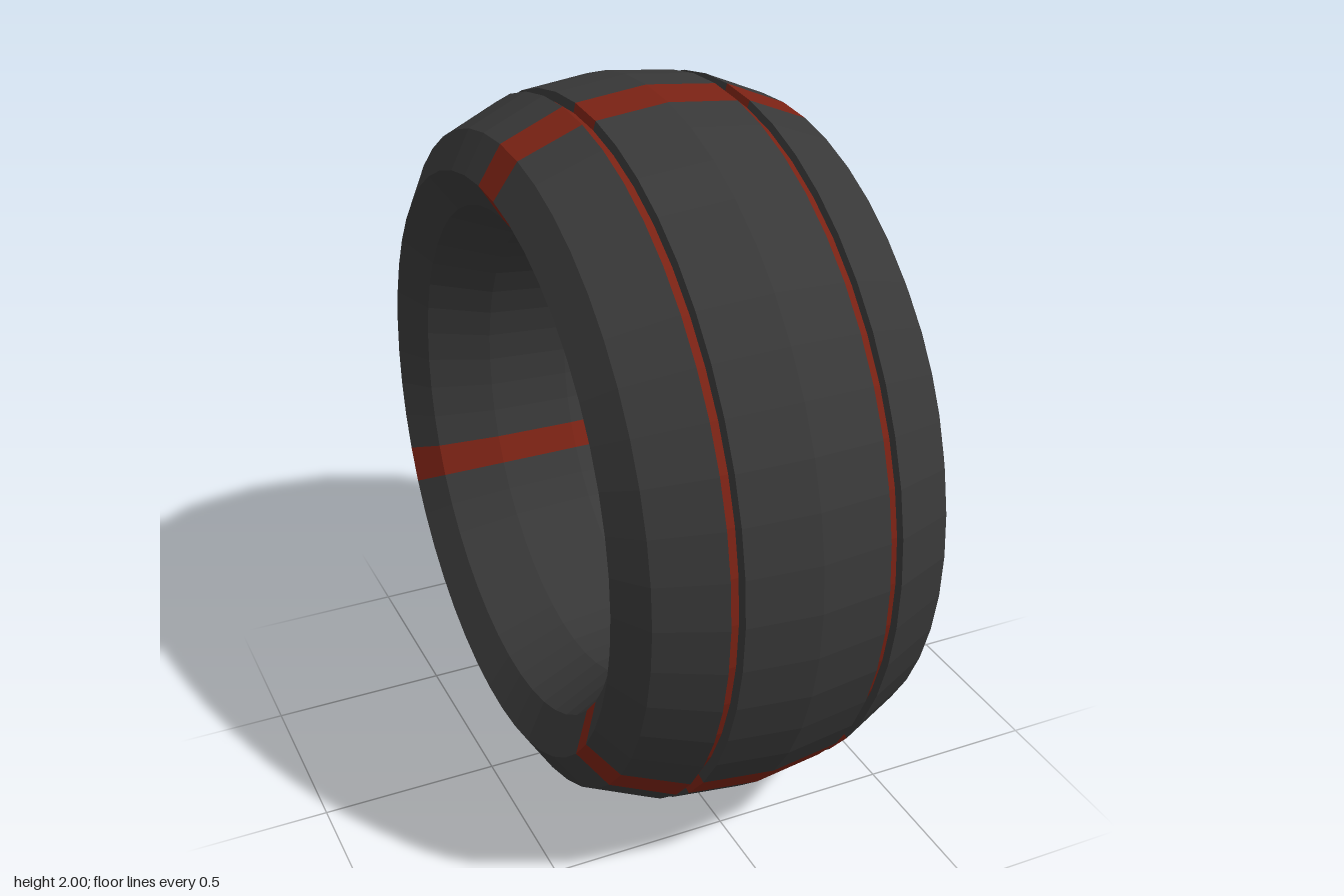
import * as THREE from 'three';

const SEGMENTS = 48;
const STEP = (Math.PI * 2) / SEGMENTS;
const STRIPES = [0, 17, 32]; // segments painted red, counted from the top towards +z

const rubber = new THREE.MeshStandardMaterial({ color: 0x383838, flatShading: true });
const red = new THREE.MeshStandardMaterial({ color: 0x7a2214, flatShading: true });

// Sweeps a profile of [x, radius] points about the x axis over some segments
function ringArc(name, profile, first, count, material) {
  const points = profile.map(([x, r]) => new THREE.Vector2(r, x));
  const geometry = new THREE.LatheGeometry(points, count, first * STEP - Math.PI / 2, count * STEP);
  geometry.rotateZ(-Math.PI / 2);
  geometry.translate(0, 1, 0);
  const mesh = new THREE.Mesh(geometry, material);
  mesh.name = name;
  return mesh;
}

export function createModel() {
  const tire = new THREE.Group();
  tire.name = 'tire';

  // Centre tread with the inner walls of both grooves
  const tread = [[-0.2, 0.953], [-0.195, 0.978], [0, 1], [0.195, 0.978], [0.2, 0.953]];

  // Shoulders, rims and bore: a flattened twelve-sided ring, open at the tread
  const casing = [[0.225, 0.953], [0.23, 0.973]];
  for (let i = 1; i < 12; i++) {
    const a = Math.PI / 3 - (i * Math.PI) / 6;
    if (i <= 9) casing.push([0.46 * Math.cos(a), 0.8 + 0.2 * Math.sin(a)]);
  }
  casing.push([-0.23, 0.973], [-0.225, 0.953]);

  // Plain rubber runs between the red cross stripes
  STRIPES.forEach((start, i) => {
    const next = i + 1 < STRIPES.length ? STRIPES[i + 1] : SEGMENTS;
    tire.add(
      ringArc('stripeTread', tread, start, 1, red),
      ringArc('stripeCasing', casing, start, 1, red),
      ringArc('tread', tread, start + 1, next - start - 1, rubber),
      ringArc('casing', casing, start + 1, next - start - 1, rubber)
    );
  });

  // Red floors of the two grooves
  for (const [name, x] of [['leftGroove', 0.2], ['rightGroove', -0.225]]) {
    tire.add(ringArc(name, [[x, 0.953], [x + 0.025, 0.953]], 0, SEGMENTS, red));
  }
  return tire;
}
